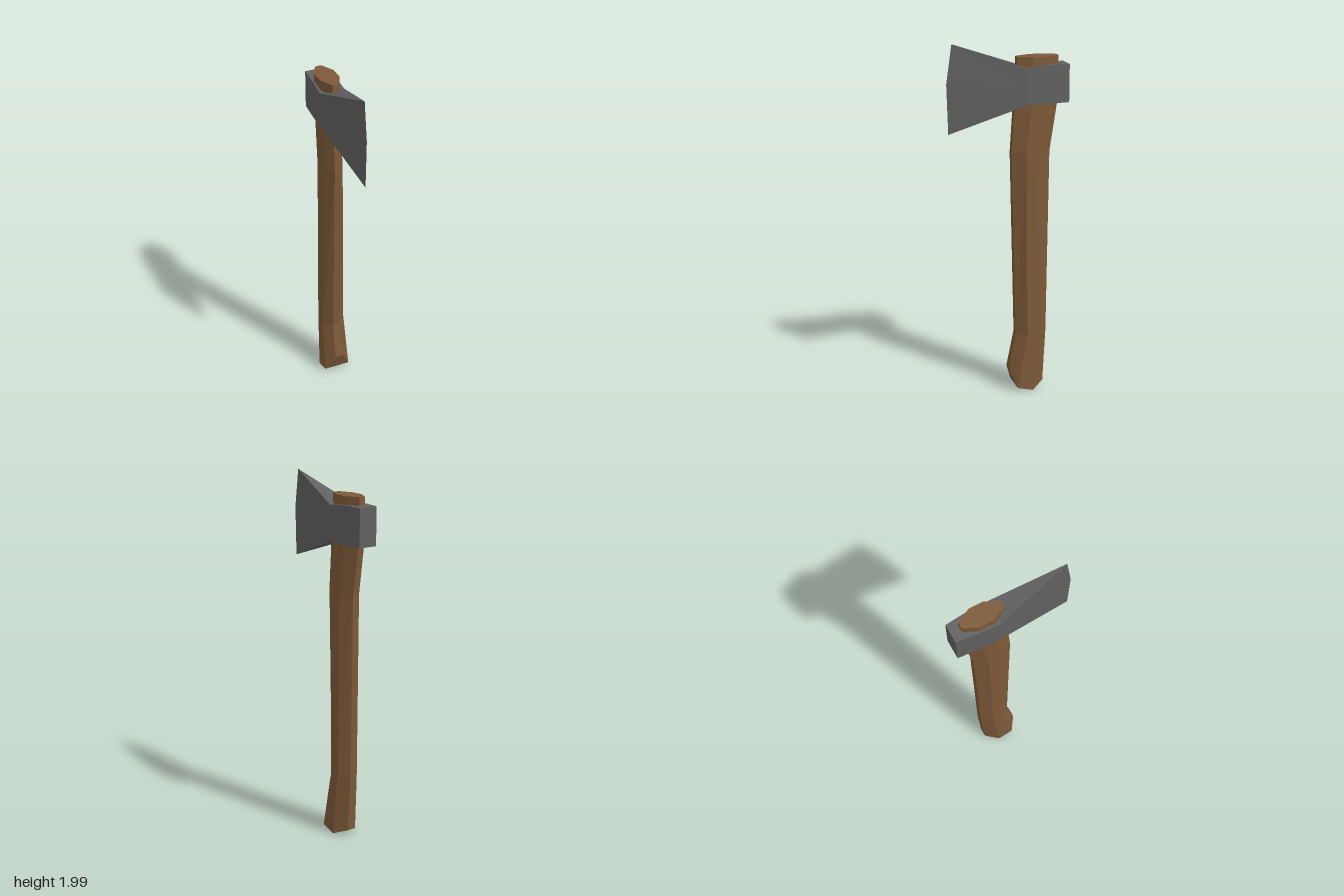
import * as THREE from 'three';

// Mirrors half a cross-section ([x, y, z] points, x >= 0) into a full ring.
const ring = (half) => [...half, ...half.map(([x, y, z]) => [-x, y, z]).reverse()];

// Skins a row of rings with flat faces; caps close the first and last ring.
function loft(name, halves, material, capStart, capEnd) {
  const rings = halves.map(ring);
  const n = rings[0].length;
  const pos = [];
  const same = (p, q) => p.every((v, i) => Math.abs(v - q[i]) < 1e-6);
  const tri = (a, b, c) => {
    if (!same(a, b) && !same(b, c) && !same(a, c)) pos.push(...a, ...b, ...c);
  };
  const quad = (a, b, c, d) => { tri(a, b, c); tri(a, c, d); };
  for (let i = 0; i < rings.length - 1; i++) {
    for (let j = 0; j < n; j++) {
      const k = (j + 1) % n;
      quad(rings[i][j], rings[i][k], rings[i + 1][k], rings[i + 1][j]);
    }
  }
  for (let j = 0; j < n / 2 - 1; j++) {
    const s = rings[0], e = rings[rings.length - 1];
    if (capStart) quad(s[n - 1 - j], s[n - 2 - j], s[j + 1], s[j]);
    if (capEnd) quad(e[j], e[j + 1], e[n - 2 - j], e[n - 1 - j]);
  }
  const geometry = new THREE.BufferGeometry();
  geometry.setAttribute('position', new THREE.Float32BufferAttribute(pos, 3));
  geometry.computeVertexNormals();
  const mesh = new THREE.Mesh(geometry, material);
  mesh.name = name;
  return mesh;
}

export function createModel() {
  const wood = new THREE.MeshStandardMaterial({ name: 'wood', color: 0x7d5938, flatShading: true });
  const steel = new THREE.MeshStandardMaterial({ name: 'steel', color: 0x606060, flatShading: true });

  // Eight-sided handle: narrow front and back faces, broad flat sides.
  const section = (y, narrow, wide, zs) =>
    zs.map((z, i) => [i === 0 || i === 3 ? narrow : wide, y, z]);
  const handle = loft('handle', [
    // slanted knob end
    [[0.025, 0.135, -0.003], [0.075, 0.03, -0.042], [0.075, 0.007, -0.132], [0.025, 0.04, -0.205]],
    section(0.35, 0.022, 0.067, [-0.045, -0.1, -0.162, -0.222]),
    section(1.4, 0.019, 0.058, [-0.02, -0.092, -0.165, -0.235]),
    section(1.67, 0.018, 0.055, [-0.037, -0.122, -0.197, -0.277]),
    section(1.92, 0.018, 0.055, [-0.05, -0.129, -0.205, -0.281]),
  ], wood, true, true);

  // Axe head: square poll at the back, tapering to a flared cutting edge.
  const slab = (x, z, low, high) => [[x, low, z], [x, (low + high) / 2, z], [x, high, z]];
  const head = loft('axeHead', [
    slab(0.053, -0.333, 1.668, 1.875),
    slab(0.066, -0.175, 1.668, 1.875),
    slab(0.068, -0.095, 1.668, 1.862),
    [[0, 1.52, 0.326], [0, 1.79, 0.333], [0, 2.0, 0.302]],
  ], steel, true, false);

  const group = new THREE.Group();
  group.name = 'axe';
  group.add(handle, head);
  return group;
}
